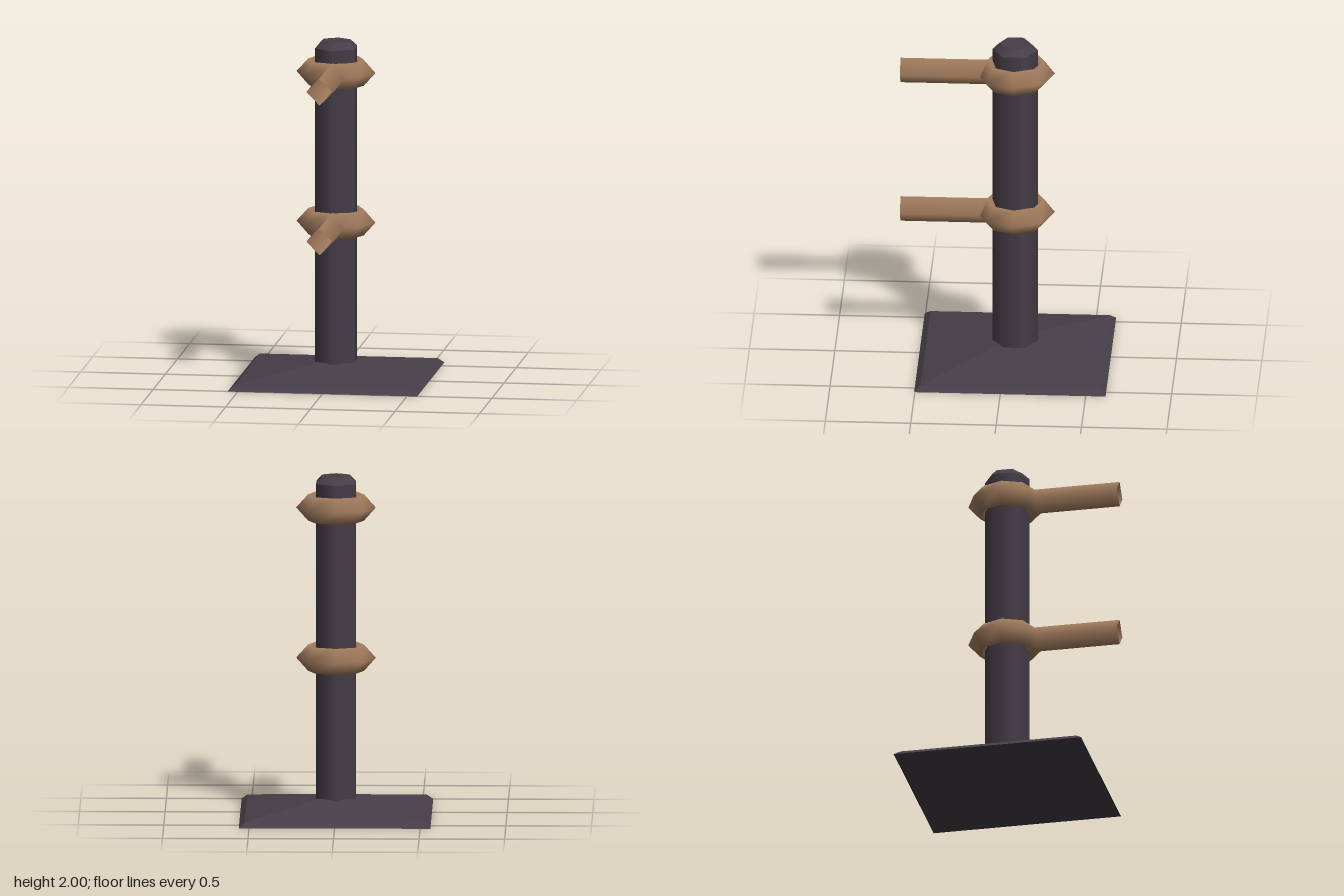
import * as THREE from 'three';

export function createModel() {
  const model = new THREE.Group();
  const axisZ = -0.056; // the post stands slightly behind the centre
  const iron = new THREE.MeshStandardMaterial({ color: 0x463e48 });
  const ironFlat = new THREE.MeshStandardMaterial({ color: 0x463e48, flatShading: true });
  const wood = new THREE.MeshStandardMaterial({ color: 0xa67f60, side: THREE.DoubleSide });

  const add = (name, geometry, material, y, z = axisZ) => {
    const mesh = new THREE.Mesh(geometry, material);
    mesh.name = name;
    mesh.position.set(0, y, z);
    model.add(mesh);
  };

  // Square foot: short bevelled rim, then a shallow pyramid
  const profile = [[0, 0], [0.56, 0], [0.525, 0.03], [0.1, 0.1], [0, 0.1]]
    .map(([half, y]) => new THREE.Vector2(half * Math.SQRT2, y));
  add('base', new THREE.LatheGeometry(profile, 4, Math.PI / 4), ironFlat, 0);

  // Hexagonal post with a chamfered top
  add('post', new THREE.CylinderGeometry(0.133, 0.133, 1.88, 6, 1, true), iron, 1.02);
  add('postTop', new THREE.CylinderGeometry(0.093, 0.133, 0.04, 6), iron, 1.98);

  // Two eight-sided rings, each with a hollow four-sided bar to the front
  const ring = new THREE.TorusGeometry(0.164, 0.069, 4, 8).rotateX(Math.PI / 2);
  ring.scale(1, 0.0775 / 0.069, 1);
  const bar = new THREE.CylinderGeometry(0.0785, 0.0785, 0.56, 4, 1, true).rotateX(Math.PI / 2);
  [['lower', 0.923], ['upper', 1.812]].forEach(([level, y]) => {
    add(level + 'Ring', ring, wood, y);
    add(level + 'Bar', bar, wood, y, 0.335);
  });

  return model;
}
